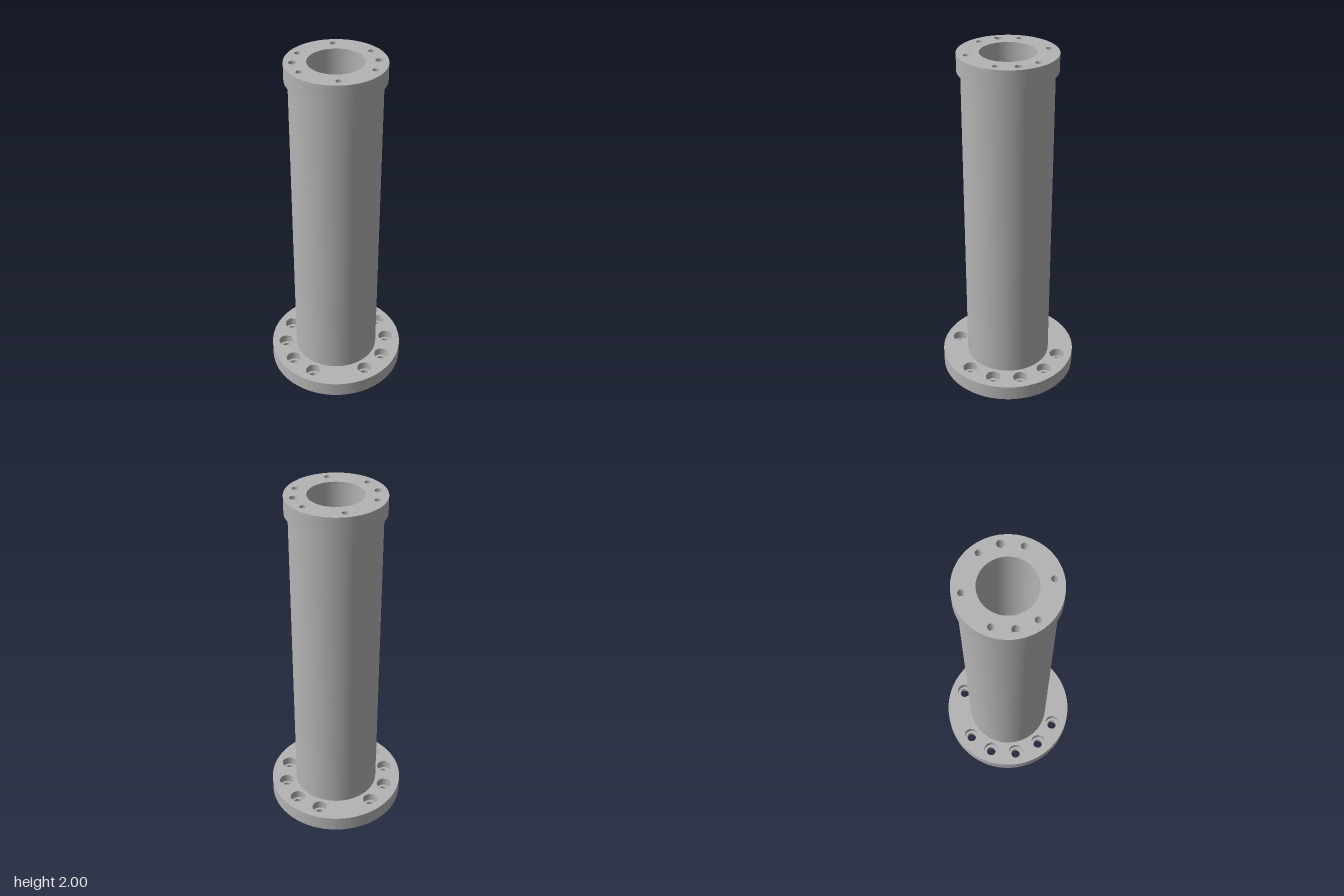
import * as THREE from 'three';
import { mergeGeometries } from 'three/addons/utils/BufferGeometryUtils.js';

// Surface of revolution between two (radius, height) points.
// Rising faces outward, falling faces inward; shrinking faces up, growing faces down.
function band(r0, y0, r1, y1, segments = 96) {
  return new THREE.LatheGeometry([new THREE.Vector2(r0, y0), new THREE.Vector2(r1, y1)], segments);
}

// Flat ring pierced by round holes, facing up or down
function plate(outer, inner, y, holes, up) {
  const shape = new THREE.Shape().absarc(0, 0, outer, 0, Math.PI * 2);
  shape.holes.push(new THREE.Path().absarc(0, 0, inner, 0, Math.PI * 2, true));
  for (const h of holes) shape.holes.push(new THREE.Path().absarc(h.x, h.z, h.r, 0, Math.PI * 2, true));
  return new THREE.ShapeGeometry(shape, 48).rotateX(up ? -Math.PI / 2 : Math.PI / 2).translate(0, y, 0);
}

function polarHole(degrees, radius, r) {
  const a = THREE.MathUtils.degToRad(degrees);
  return { x: Math.cos(a) * radius, z: Math.sin(a) * radius, r };
}

export function createModel() {
  const group = new THREE.Group();
  const steel = new THREE.MeshStandardMaterial({ color: 0xb4b4b4 });
  steel.name = 'steel grey';

  function add(name, geometries) {
    const mesh = new THREE.Mesh(mergeGeometries(geometries), steel);
    mesh.name = name;
    group.add(mesh);
  }

  const BORE = 0.148, LOWER_BORE = 0.123, TUBE = 0.245, COLLAR = 0.265;
  const FLANGE = 0.393, SPIGOT = 0.195, CIRCLE = 0.309;
  const Y_FLANGE = 0.03, Y_TUBE = 0.12, Y_COLLAR = 1.905, Y_TOP = 2, Y_SEAT = 0.07;

  // Locating spigot under the flange
  add('spigot', [
    band(SPIGOT, 0, SPIGOT, Y_FLANGE),
    band(LOWER_BORE, 0, SPIGOT, 0),
  ]);

  // Stepped bore through the whole column
  add('bore', [
    band(BORE, Y_TOP, BORE, Y_TUBE),
    band(BORE, Y_TUBE, LOWER_BORE, Y_TUBE),
    band(LOWER_BORE, Y_TUBE, LOWER_BORE, 0),
  ]);

  // Main tube
  add('tube', [band(TUBE, Y_TUBE, TUBE, Y_COLLAR)]);

  // Base flange: ten counterbored bolt holes and two blind holes underneath
  const bolts = [], seats = [], blind = [];
  for (let i = 0; i < 12; i++) {
    if (i % 6 === 3) blind.push(polarHole(i * 30, CIRCLE, 0.028));
    else {
      bolts.push(polarHole(i * 30, CIRCLE, 0.028));
      seats.push(polarHole(i * 30, CIRCLE, 0.043));
    }
  }
  add('baseFlange', [
    band(FLANGE, Y_FLANGE, FLANGE, Y_TUBE),
    plate(FLANGE, TUBE, Y_TUBE, seats, true),
    plate(FLANGE, SPIGOT, Y_FLANGE, [...bolts, ...blind], false),
  ]);
  add('boltHoles', bolts.flatMap(({ x, z, r }) => [
    band(0.043, Y_TUBE, 0.043, Y_SEAT, 32),
    band(0.043, Y_SEAT, r, Y_SEAT, 32),
    band(r, Y_SEAT, r, Y_FLANGE, 32),
  ].map((g) => g.translate(x, 0, z))));
  add('blindHoles', blind.flatMap(({ x, z, r }) => [
    band(r, 0.09, r, Y_FLANGE, 32),
    band(0, 0.09, r, 0.09, 32),
  ].map((g) => g.translate(x, 0, z))));

  // Top collar with six threaded holes and two larger dowel holes
  const topHoles = [0, 30, 90, 150, 180, 210, 270, 330]
    .map((a) => polarHole(a, 0.217, a % 180 === 0 ? 0.0205 : 0.017));
  add('topCollar', [
    band(COLLAR, Y_COLLAR, COLLAR, Y_TOP),
    band(TUBE, Y_COLLAR, COLLAR, Y_COLLAR),
    plate(COLLAR, BORE, Y_TOP, topHoles, true),
  ]);
  add('topHoles', topHoles.flatMap(({ x, z, r }) => [
    band(r, Y_TOP, r, 1.92, 32),
    band(r, 1.92, 0, 1.92, 32),
  ].map((g) => g.translate(x, 0, z))));

  return group;
}
